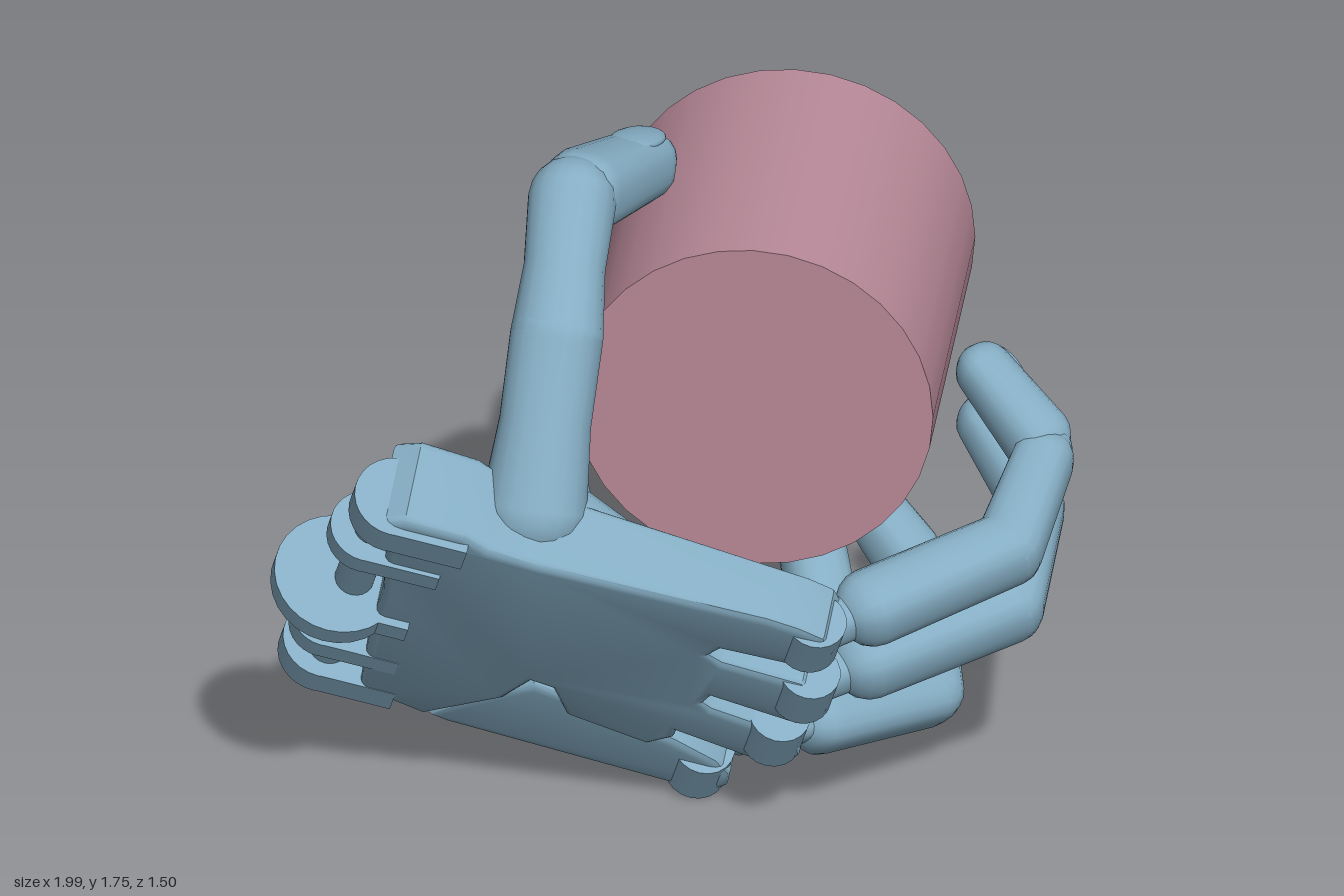
import * as THREE from 'three';
import { mergeVertices, toCreasedNormals } from 'three/addons/utils/BufferGeometryUtils.js';

const V = (x, y, z) => new THREE.Vector3(x, y, z);
const skin = new THREE.MeshStandardMaterial({ color: 0x85adc3 });
const pink = new THREE.MeshStandardMaterial({ color: 0xb98a99 });

// Tilted frame of the hand: u towards the fingers, v across, n out of the back of the hand
const n = V(-0.097, -0.58, 1).normalize();
const u = V(1, -0.25, -0.048).normalize();
const v = n.clone().cross(u).normalize();
const plane = (x, y) => 0.175 + 0.097 * x + 0.58 * y;

function add(parent, name, geometry, material = skin) {
  const mesh = new THREE.Mesh(geometry, material);
  mesh.name = name;
  parent.add(mesh);
  return mesh;
}

// Tapered rounded bar between two points, squarish in section, its local z facing "out"
function link(parent, name, a, b, r0, r1, out, { waist = 1, power = 2.8 } = {}) {
  const dir = b.clone().sub(a), len = dir.length();
  dir.normalize();
  const pts = [];
  for (let i = 0; i <= 5; i++) {
    const t = (i / 5) * Math.PI / 2;
    pts.push(new THREE.Vector2(r0 * Math.sin(t), -r0 * Math.cos(t)));
  }
  pts.push(new THREE.Vector2((r0 + r1) / 2 * waist, len / 2));
  for (let i = 0; i <= 5; i++) {
    const t = (i / 5) * Math.PI / 2;
    pts.push(new THREE.Vector2(r1 * Math.cos(t), len + r1 * Math.sin(t)));
  }
  let g = new THREE.LatheGeometry(pts, 20);
  const p = g.attributes.position;
  for (let i = 0; i < p.count; i++) {
    const x = p.getX(i), z = p.getZ(i), r = Math.hypot(x, z);
    if (r < 1e-6) continue;
    const k = Math.pow(Math.abs(x / r) ** power + Math.abs(z / r) ** power, -1 / power);
    p.setX(i, x * k);
    p.setZ(i, z * k);
  }
  g.deleteAttribute('uv');
  g.deleteAttribute('normal');
  g = mergeVertices(g);
  g.computeVertexNormals();
  const z = out.clone().addScaledVector(dir, -out.dot(dir)).normalize();
  const x = dir.clone().cross(z);
  g.applyMatrix4(new THREE.Matrix4().makeBasis(x, dir, z).setPosition(a));
  add(parent, name, g);
}

// Plate drawn in front projection and laid on the tilted plane, thinner towards the fingers
function plate(parent, name, outline, depth, lift = 0) {
  const shape = new THREE.Shape(outline.map(([x, y]) => new THREE.Vector2(x, y)));
  const bevel = 0.025;
  const g = new THREE.ExtrudeGeometry(shape, {
    depth: depth - 2 * bevel, bevelSize: bevel, bevelThickness: bevel, bevelOffset: -bevel, bevelSegments: 3,
  });
  const p = g.attributes.position;
  for (let i = 0; i < p.count; i++) {
    const x = p.getX(i), y = p.getY(i);
    const taper = THREE.MathUtils.lerp(1, 0.65, THREE.MathUtils.smoothstep(x, -0.65, 0.3));
    const d = (depth - bevel - p.getZ(i)) * taper - lift;
    p.setXYZ(i, x - n.x * d, y - n.y * d, plane(x, y) - n.z * d);
  }
  add(parent, name, toCreasedNormals(g, 0.6));
}

// Fingertip bar with a nail on its outer face
function tip(parent, name, a, b, r, out) {
  link(parent, name, a, b, r * 1.04, r * 0.86, out);
  const dir = b.clone().sub(a).normalize();
  const o = out.clone().addScaledVector(dir, -out.dot(dir)).normalize();
  const c = a.clone().lerp(b, 0.85).addScaledVector(o, r * 0.78);
  const g = new THREE.SphereGeometry(1, 16, 10).scale(r * 0.62, r * 1.0, r * 0.2);
  g.applyMatrix4(new THREE.Matrix4().makeBasis(dir.clone().cross(o), dir, o).setPosition(c));
  add(parent, name + 'Nail', g);
}

// Finger: hinge at the knuckle, narrow tongue, three bars
function finger(parent, name, [k, p, m, t], r) {
  const group = new THREE.Group();
  group.name = name;
  parent.add(group);
  const d1 = p.clone().sub(k), d2 = m.clone().sub(p);
  const out1 = d2.clone().negate();
  const hinge = add(group, 'knuckleHinge', new THREE.CylinderGeometry(r * 0.85, r * 0.85, r * 1.5, 20));
  hinge.quaternion.setFromUnitVectors(V(0, 1, 0), v);
  hinge.position.copy(k);
  link(group, 'knuckleTongue', k, k.clone().addScaledVector(d1, 0.4), r * 0.6, r * 0.6, out1);
  link(group, 'proximalBar', k.clone().addScaledVector(d1, 0.3), p, r, r * 0.95, out1);
  link(group, 'middleBar', p, p.clone().lerp(m, 0.9), r * 0.95, r * 0.84, d1);
  link(group, 'tipJoint', p.clone().lerp(m, 0.85), m, r * 0.7, r * 0.7, d1);
  tip(group, 'fingertip', m.clone().lerp(t, 0.15), t, r * 0.86, d2);
}

export function createModel() {
  const model = new THREE.Group();

  // Held cylinder
  const can = add(model, 'heldCylinder', new THREE.CylinderGeometry(0.455, 0.455, 0.91, 32), pink);
  can.rotation.x = Math.PI / 2;
  can.position.set(0.21, 1.155, -0.255);

  // Palm with forked knuckle lobes
  const palm = new THREE.Group();
  palm.name = 'palm';
  model.add(palm);
  plate(palm, 'palmPlate', [
    [-0.68, 1.05], [-0.67, 0.95], [-0.69, 0.75], [-0.74, 0.55], [-0.78, 0.31], [-0.62, 0.225], [-0.41, 0.33],
    [-0.33, 0.42], [-0.28, 0.40], [-0.25, 0.29], [-0.05, 0.20], [0.02, 0.24], [0.03, 0.27], [0.24, 0.175],
    [0.30, 0.18], [0.34, 0.22], [0.34, 0.27], [0.30, 0.32], [0.13, 0.39], [0.11, 0.41], [0.13, 0.44],
    [0.33, 0.365], [0.39, 0.375], [0.425, 0.43], [0.42, 0.48], [0.37, 0.54], [0.17, 0.60], [0.14, 0.625],
    [0.17, 0.655], [0.37, 0.615], [0.43, 0.635], [0.46, 0.69], [0.44, 0.75], [0.38, 0.785], [0.30, 0.815],
    [-0.28, 0.94], [-0.40, 0.98], [-0.46, 1.03], [-0.61, 1.07],
  ].reverse(), 0.25);
  plate(palm, 'littleFingerPlate', [
    [-0.62, 0.21], [-0.57, 0.18], [0.05, 0.00], [0.10, 0.00], [0.14, 0.03], [0.15, 0.08], [0.12, 0.135],
    [0.02, 0.21], [-0.20, 0.33], [-0.33, 0.39], [-0.48, 0.32],
  ], 0.22, -0.015);

  // Thumb mound, web and hinge flap on the inner side
  const into = n.clone().negate();
  link(palm, 'thumbMound', V(-0.30, 0.95, 0.49), V(0.0, 0.78, 0.47), 0.13, 0.08, into);
  link(palm, 'thumbWeb', V(-0.30, 0.98, 0.46), V(-0.45, 0.74, 0.39), 0.13, 0.10, into);
  link(palm, 'palmFlap', V(-0.55, 0.38, 0.16), V(-0.40, 0.50, 0.18), 0.07, 0.06, into);

  // Wrist lugs: position across, offset towards the fingers, offset outwards, radius, thickness
  const wrist = new THREE.Group();
  wrist.name = 'wrist';
  wrist.applyMatrix4(new THREE.Matrix4().makeBasis(u, v, n).setPosition(-0.82, 0.70, 0.40));
  model.add(wrist);
  for (const [s, along, up, r, h] of [
    [0.45, 0.07, 0, 0.11, 0.09], [0.28, 0.03, 0, 0.10, 0.06], [0, 0, 0, 0.165, 0.06],
    [-0.22, 0.01, 0, 0.09, 0.06], [-0.39, 0.03, -0.02, 0.11, 0.08],
  ]) {
    add(wrist, 'wristLug', new THREE.CylinderGeometry(r, r, h, 28)).position.set(along, s, up);
    const arm = Math.min(r, 0.11) * 1.98;
    add(wrist, 'wristLugArm', new THREE.BoxGeometry(0.2, h, arm)).position.set(along + 0.1, s, up);
  }
  add(wrist, 'wristAxle', new THREE.CylinderGeometry(0.05, 0.05, 0.84, 20)).position.set(0.04, 0.03, 0);

  // Thumb
  const thumb = new THREE.Group();
  thumb.name = 'thumb';
  model.add(thumb);
  const outer = V(0, 0.5, 1);
  link(thumb, 'thumbBase', V(-0.31, 1.0, 0.50), V(-0.275, 1.39, 0.305), 0.135, 0.118, outer, { waist: 0.92, power: 2.2 });
  link(thumb, 'thumbBar', V(-0.275, 1.39, 0.305), V(-0.265, 1.64, 0.055), 0.118, 0.112, outer, { waist: 0.9, power: 2.2 });
  tip(thumb, 'thumbTip', V(-0.24, 1.64, 0.0), V(-0.125, 1.57, -0.265), 0.1, V(0, 1, 0));

  // Fingers: knuckle, middle joint, tip joint, tip
  finger(model, 'indexFinger', [V(0.40, 0.72, 0.56), V(0.86, 0.81, 0.24), V(0.92, 0.915, -0.08), V(0.74, 1.04, -0.25)], 0.092);
  finger(model, 'middleFinger', [V(0.37, 0.50, 0.44), V(0.85, 0.58, 0.13), V(0.88, 0.70, -0.20), V(0.73, 0.83, -0.355)], 0.092);
  finger(model, 'ringFinger', [V(0.28, 0.30, 0.32), V(0.62, 0.215, -0.04), V(0.56, 0.42, -0.31), V(0.40, 0.60, -0.39)], 0.092);
  finger(model, 'littleFinger', [V(0.07, 0.10, 0.16), V(0.33, 0.255, -0.30), V(0.25, 0.445, -0.565), V(0.10, 0.63, -0.68)], 0.092);

  return model;
}
